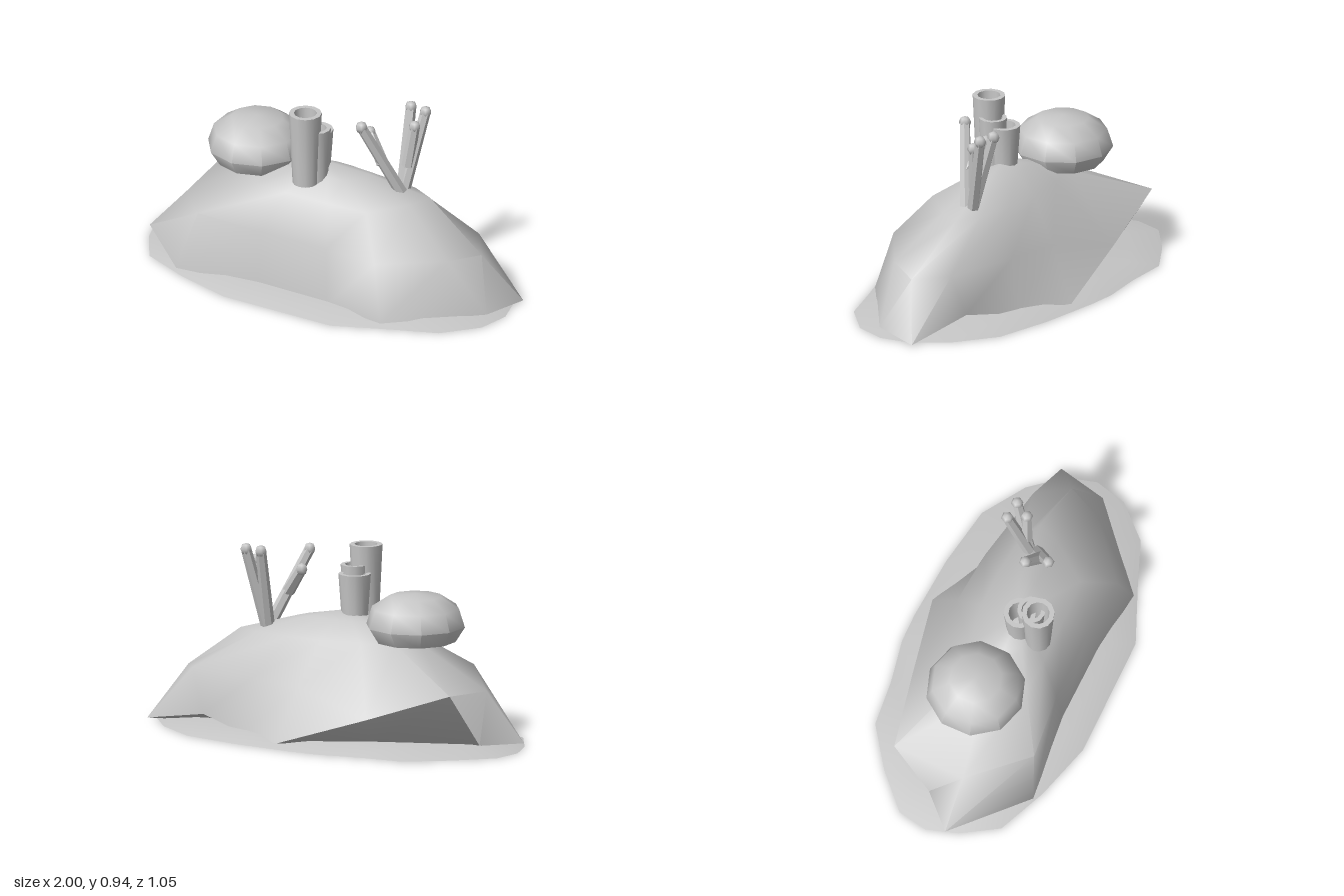
import * as THREE from 'three';
import { toCreasedNormals } from 'three/addons/utils/BufferGeometryUtils.js';

const stone = new THREE.MeshStandardMaterial({ color: 0xc6c6c6 });
stone.name = 'pale grey stone';

function add(parent, name, geometry) {
  const mesh = new THREE.Mesh(geometry, stone);
  mesh.name = name;
  parent.add(mesh);
  return mesh;
}

// Skin a stack of closed rings, listed bottom to top; first and last are collapsed to a point
function loft(rings, crease) {
  const n = rings[0].length, index = [];
  for (let r = 0; r < rings.length - 1; r++) {
    for (let i = 0; i < n; i++) {
      const j = (i + 1) % n, a = r * n + i, b = r * n + j;
      if (r > 0) index.push(a, a + n, b);
      else index.push(a, a + n, b + n);
      if (r > 0 && r < rings.length - 2) index.push(b, a + n, b + n);
    }
  }
  const g = new THREE.BufferGeometry();
  g.setAttribute('position', new THREE.Float32BufferAttribute(rings.flat(2), 3));
  g.setIndex(index);
  return toCreasedNormals(g, crease);
}

// Points are [x, z] or [x, z, own height]
const level = (points, y) => points.map(([x, z, own = y]) => [x, own, z]);
const shrink = (points, s, cx = 0, cz = 0) =>
  points.map(([x, z]) => [cx + (x - cx) * s, cz + (z - cz) * s]);

function lathe(points, sides, crease) {
  const profile = points.map(([x, y]) => new THREE.Vector2(x, y));
  return toCreasedNormals(new THREE.LatheGeometry(profile, sides), crease);
}

export function createModel() {
  const model = new THREE.Group();
  model.name = 'coralReef';

  // Thin irregular bed of sand
  const bed = [
    [1, 0], [0.96, 0.16], [0.81, 0.32], [0.6, 0.4], [0.31, 0.52], [-0.3, 0.515],
    [-0.59, 0.43], [-0.84, 0.32], [-0.95, 0.14], [-1, -0.02], [-0.97, -0.17], [-0.8, -0.33],
    [-0.6, -0.47], [-0.37, -0.49], [-0.15, -0.53], [0, -0.53], [0.32, -0.505], [0.62, -0.45],
    [0.83, -0.31], [0.96, -0.15],
  ];
  add(model, 'sandBed', loft([
    level(shrink(bed, 0), 0), level(bed, 0),
    level(shrink(bed, 0.8), 0.037), level(shrink(bed, 0), 0.045),
  ], 0.8));

  // Long rock mound, its back left corner overhanging the sand
  const foot = [
    [0.99, -0.19, 0.005], [0.93, 0.06], [0.53, 0.41], [0.2, 0.37], [-0.2, 0.36], [-0.64, 0.4],
    [-0.98, 0.08, 0.03], [-0.82, -0.08, 0.03], [-0.32, -0.28], [0.1, -0.48], [0.36, -0.35], [0.64, -0.25, 0.07],
  ];
  const flank = [
    [0.83, -0.06, 0.27], [0.74, 0.12, 0.29], [0.46, 0.35], [0.17, 0.325], [-0.2, 0.325], [-0.54, 0.36, 0.33],
    [-0.77, 0.08, 0.27], [-0.77, -0.29, 0.31], [-0.35, -0.385, 0.165], [0.06, -0.33, 0.28],
    [0.34, -0.3, 0.29], [0.72, -0.22, 0.29],
  ];
  const shoulder = [
    [0.52, -0.09], [0.47, 0.03], [0.33, 0.21], [0.12, 0.22], [-0.12, 0.22], [-0.3, 0.21],
    [-0.41, 0.03], [-0.36, -0.1], [-0.19, -0.15], [0.02, -0.18], [0.2, -0.175], [0.4, -0.15],
  ];
  add(model, 'rockMound', loft([
    level(shrink(foot, 0), 0.02), level(foot, 0.02), level(flank, 0.3), level(shoulder, 0.49),
    level(shrink(shoulder, 0.43, 0, 0.03), 0.572), level(shrink(foot, 0, 0, 0.03), 0.61),
  ], 1.2));

  // Round coral with a flat underside
  add(model, 'domeCoral', lathe([
    [0, 0.505], [0.2, 0.505], [0.247, 0.58], [0.218, 0.67], [0.13, 0.728], [0, 0.742],
  ], 10, 1.0)).position.set(-0.42, 0, -0.01);

  // Hollow tube corals: x, z, top height, top radius
  const tubes = new THREE.Group();
  tubes.name = 'tubeCorals';
  model.add(tubes);
  for (const [x, z, top, r] of [[-0.047, 0.157, 0.92, 0.081], [-0.013, 0.105, 0.825, 0.07], [-0.04, 0.055, 0.79, 0.08]]) {
    add(tubes, 'tubeCoral', lathe([
      [0, 0.54], [r * 0.78, 0.54], [r, top], [r * 0.7, top], [r * 0.58, 0.6], [0, 0.6],
    ], 12, 0.8)).position.set(x, 0, z);
  }

  // Branching coral: start and tip of each stem
  const branches = new THREE.Group();
  branches.name = 'branchCoral';
  model.add(branches);
  const stems = [
    [[0.385, 0.5, -0.045], [0.23, 0.88, 0.085]],
    [[0.31, 0.67, 0.015], [0.21, 0.8, -0.03]],
    [[0.37, 0.5, -0.075], [0.35, 0.905, -0.19]],
    [[0.375, 0.5, -0.08], [0.44, 0.905, -0.178]],
    [[0.385, 0.63, -0.1], [0.415, 0.845, -0.115]],
  ];
  const up = new THREE.Vector3(0, 1, 0);
  for (const [from, to] of stems) {
    const a = new THREE.Vector3(...from), b = new THREE.Vector3(...to);
    const along = b.clone().sub(a);
    const stem = add(branches, 'branch',
      toCreasedNormals(new THREE.CylinderGeometry(0.026, 0.031, along.length(), 6), 0.8));
    stem.position.copy(a).add(b).multiplyScalar(0.5);
    stem.quaternion.setFromUnitVectors(up, along.normalize());
    add(branches, 'branchTip', new THREE.SphereGeometry(0.031, 6, 4)).position.copy(b);
  }

  return model;
}
